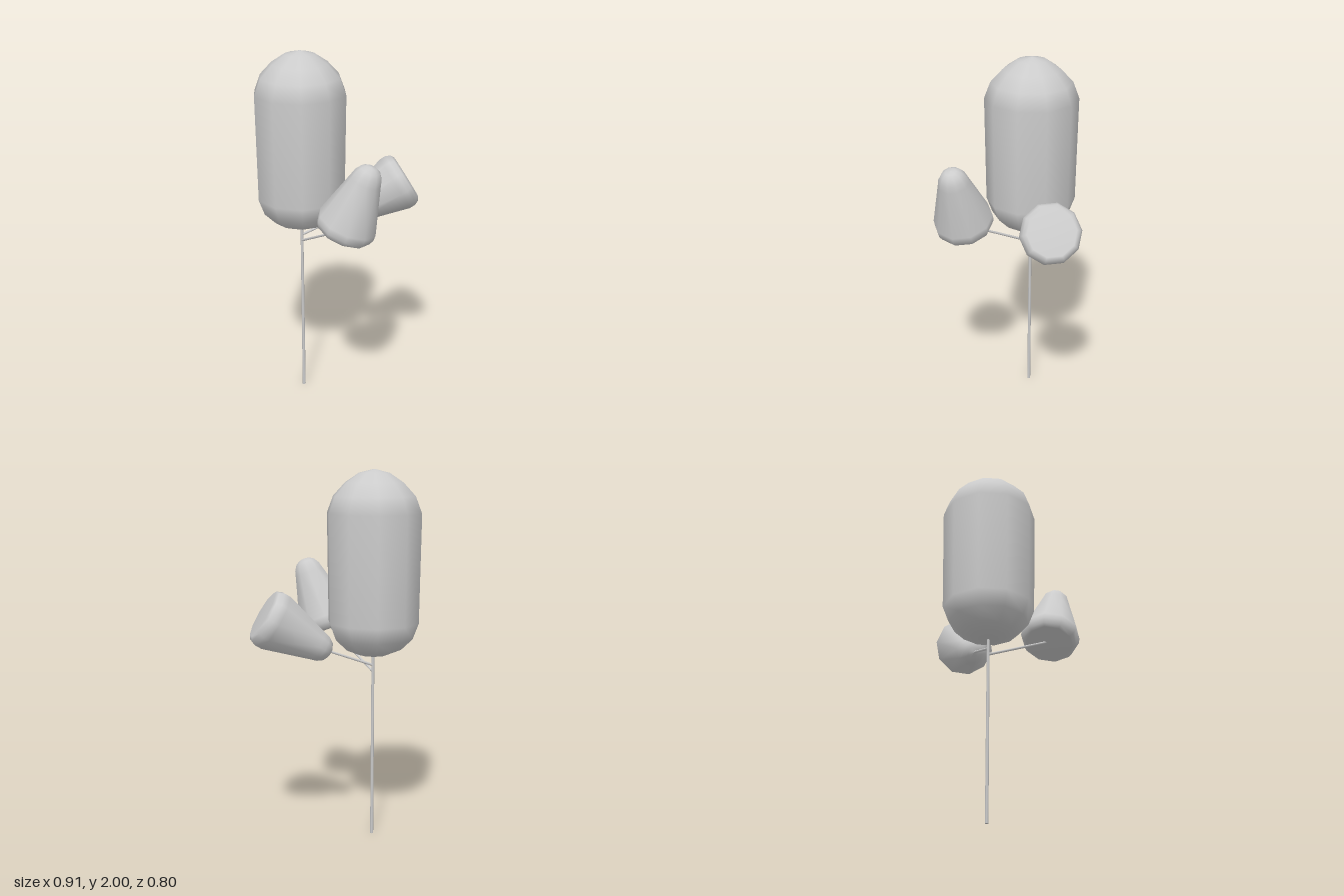
import * as THREE from 'three';

const UP = new THREE.Vector3(0, 1, 0);
const SIDES = 10;

export function createModel() {
  const model = new THREE.Group();
  const material = new THREE.MeshStandardMaterial({ color: 0xcccccc });

  const add = (name, geometry, parent = model) => {
    const mesh = new THREE.Mesh(geometry, material);
    mesh.name = name;
    parent.add(mesh);
    return mesh;
  };

  // Turned solid from [radius, height] pairs, listed from bottom to top
  const lathe = (profile) =>
    new THREE.LatheGeometry(profile.map(([r, y]) => new THREE.Vector2(r, y)), SIDES);

  // Thin round stick between two points
  const stick = (name, from, to, r0, r1) => {
    const a = new THREE.Vector3(...from);
    const b = new THREE.Vector3(...to);
    const d = b.clone().sub(a);
    const mesh = add(name, new THREE.CylinderGeometry(r1, r0, d.length(), 8));
    mesh.position.copy(a).addScaledVector(d, 0.5);
    mesh.quaternion.setFromUnitVectors(UP, d.normalize());
  };

  // Trunk and branches
  stick('trunk', [-0.212, 0, -0.141], [-0.212, 1.08, -0.141], 0.009, 0.008);
  stick('frontBranch', [-0.212, 0.92, -0.141], [-0.01, 1.12, 0.23], 0.007, 0.006);
  stick('sideBranch', [-0.212, 0.955, -0.141], [0.06, 1.055, -0.19], 0.007, 0.006);

  // Main crown: tall capsule with rounded ends
  const crown = add('mainCrown', lathe([
    [0, 1.005], [0.08, 1.015], [0.153, 1.045], [0.215, 1.105], [0.247, 1.19],
    [0.256, 1.77], [0.222, 1.86], [0.157, 1.93], [0.082, 1.98], [0, 2],
  ]));
  crown.position.set(-0.212, 0, -0.141);
  crown.rotation.y = -0.05;

  // Small crowns: soft-edged cones, wide end at the origin, narrow end on +y
  const cone = lathe([
    [0, 0], [0.13, 0], [0.15, 0.012], [0.163, 0.04], [0.163, 0.075],
    [0.085, 0.335], [0.075, 0.37], [0.055, 0.4], [0.03, 0.415], [0, 0.42],
  ]);
  const smallCrown = (name, base, axis, roll) => {
    const group = new THREE.Group();
    group.name = name;
    group.position.set(...base);
    group.quaternion.setFromUnitVectors(UP, new THREE.Vector3(...axis).normalize());
    add(name + 'Cone', cone, group).rotation.y = roll;
    model.add(group);
  };
  smallCrown('frontCrown', [-0.022, 1.1, 0.226], [0.145, 0.4, 0.076], -0.1);
  smallCrown('sideCrown', [0.385, 1.25, -0.212], [-0.86, -0.51, 0.05], 0);

  return model;
}
